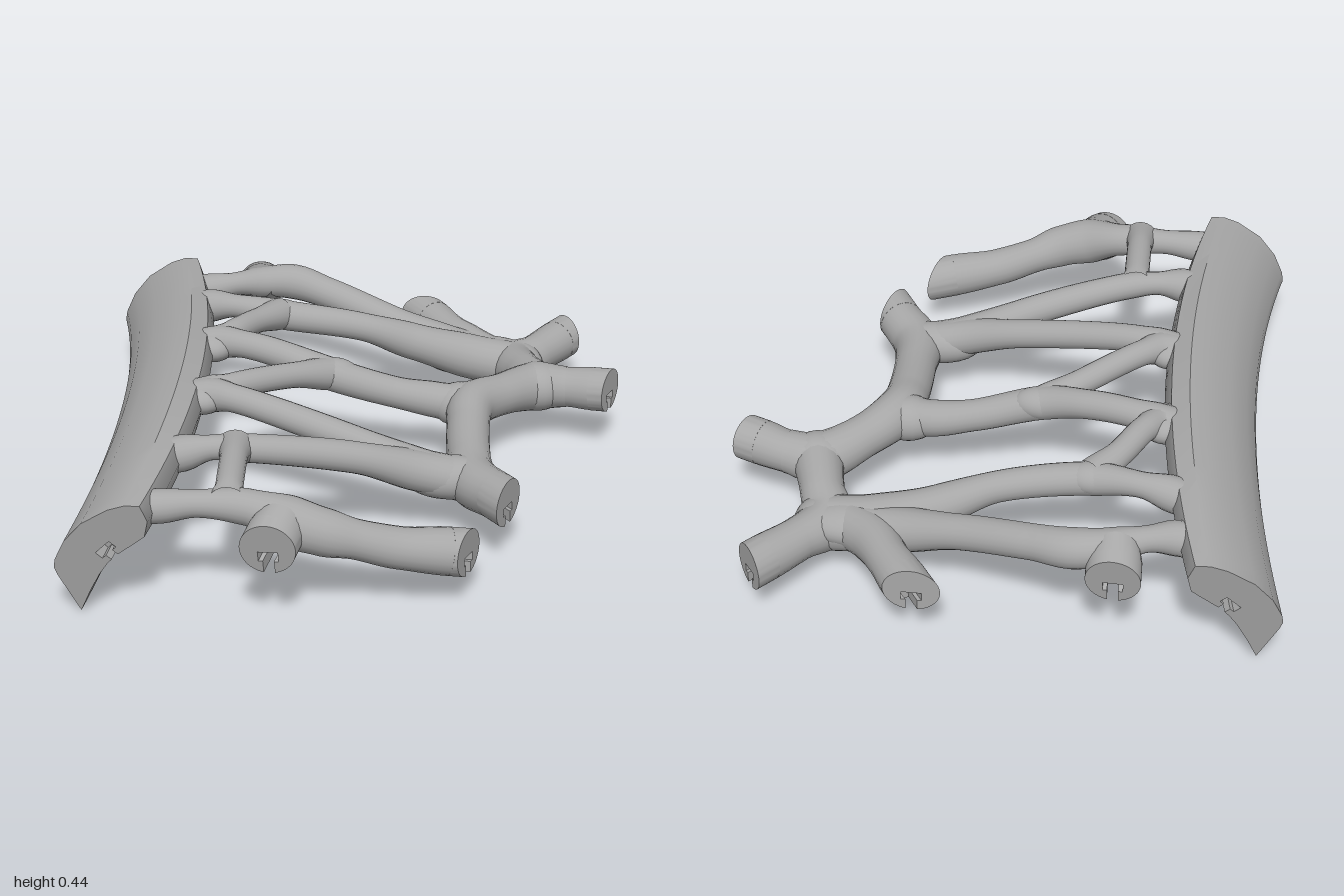
import * as THREE from 'three';
import { toCreasedNormals } from 'three/addons/utils/BufferGeometryUtils.js';

const grey = new THREE.MeshStandardMaterial({ color: 0xa8a8a8 });
grey.name = 'plain grey';

function part(name, geometry) {
  const mesh = new THREE.Mesh(geometry, grey);
  mesh.name = name;
  return mesh;
}

// Curved rail: one hollowed cross-section swept along z, with a T-slot in both ends
function railGeometry() {
  const before = [[-0.86, 0.14], [-0.8, 0.01], [-0.768, 0.085], [-0.735, 0.15], [-0.712, 0.185]];
  const after = [[-0.66, 0.235], [-0.625, 0.262], [-0.597, 0.285], [-0.585, 0.34], [-0.605, 0.395], [-0.65, 0.396],
    [-0.7, 0.38], [-0.78, 0.33], [-0.835, 0.265], [-0.865, 0.2], [-0.87, 0.17]];
  const slot = [[-0.014, 0], [-0.014, 0.022], [-0.03, 0.022], [-0.03, 0.05],
    [0.03, 0.05], [0.03, 0.022], [0.014, 0.022], [0.014, 0]];
  const profile = (cut) => [...before, ...slot.map(([s, d]) => {
    const along = cut ? s : Math.sign(s) * 0.014;
    const deep = cut ? d : 0;
    return [-0.688 + 0.7 * (along - deep), 0.211 + 0.7 * (along + deep)];
  }), ...after];

  const sections = [[-1, true], [-0.94, true]];
  for (let i = 0; i <= 24; i++) sections.push([-0.94 + 1.88 * i / 24, false]);
  sections.push([0.94, true], [1, true]);

  const positions = [], index = [];
  const n = profile(true).length;
  sections.forEach(([t, cut], i) => {
    const bow = 1 - t * t;
    for (const [x, y] of profile(cut)) {
      const inner = x > -0.62;
      positions.push(x + (inner ? 0.102 : 0.09) * bow, y + (inner ? 0.025 : 0.05) * bow, -0.03 + t * (0.9 + 0.175 * y));
    }
    if (i === 0) return;
    for (let j = 0; j < n; j++) {
      const a = (i - 1) * n + j, b = (i - 1) * n + (j + 1) % n;
      index.push(a, b, b + n, a, b + n, a + n);
    }
  });
  const last = (sections.length - 1) * n;
  const outline = profile(true).map(([x, y]) => new THREE.Vector2(x, y));
  for (const [a, b, c] of THREE.ShapeUtils.triangulateShape(outline, [])) {
    index.push(last + a, last + b, last + c, a, c, b);
  }
  const geometry = new THREE.BufferGeometry();
  geometry.setAttribute('position', new THREE.Float32BufferAttribute(positions, 3));
  geometry.setIndex(index);
  return toCreasedNormals(geometry, 0.6);
}

// Tube through points [x, y, z, radius]
function branchGeometry(points) {
  const curve = new THREE.CatmullRomCurve3(points.map(([x, y, z]) => new THREE.Vector3(x, y, z)));
  const steps = (points.length - 1) * 8, sides = 20;
  const geometry = new THREE.TubeGeometry(curve, steps, 1, sides);
  const position = geometry.attributes.position, v = new THREE.Vector3();
  for (let i = 0; i <= steps; i++) {
    const centre = curve.getPointAt(i / steps);
    const t = curve.getUtoTmapping(i / steps) * (points.length - 1);
    const k = Math.min(Math.floor(t), points.length - 2);
    const r = THREE.MathUtils.lerp(points[k][3], points[k + 1][3], THREE.MathUtils.smoothstep(t - k, 0, 1));
    for (let j = 0; j <= sides; j++) {
      const id = i * (sides + 1) + j;
      v.fromBufferAttribute(position, id).sub(centre).multiplyScalar(r).add(centre);
      position.setXYZ(id, v.x, v.y, v.z);
    }
  }
  return { geometry, curve };
}

// Round end piece with a T-slot opening downwards, cut off along a plane with the given normal
function socket(curve, r, normal) {
  const length = 0.06;
  const dir = curve.getTangentAt(1);
  const side = new THREE.Vector3(0, 1, 0).cross(dir).normalize();
  const up = dir.clone().cross(side);
  const cut = new THREE.Vector3(...normal);

  const shape = new THREE.Shape();
  const w = 0.2 * r, h = 0.36 * r, edge = Math.asin(w / r);
  shape.absarc(0, 0, r, -Math.PI / 2 + edge, 1.5 * Math.PI - edge, false);
  [[-w, -0.5 * r], [-h, -0.5 * r], [-h, -0.12 * r], [h, -0.12 * r], [h, -0.5 * r], [w, -0.5 * r]]
    .forEach(([x, y]) => shape.lineTo(x, y));
  const plug = new THREE.ExtrudeGeometry(shape, { depth: length, bevelEnabled: false, curveSegments: 28 });
  const p = plug.attributes.position;
  for (let i = 0; i < p.count; i++) {
    if (p.getZ(i) < length / 2) continue;
    p.setZ(i, length - (cut.dot(side) * p.getX(i) + cut.dot(up) * p.getY(i)) / cut.dot(dir));
  }
  const group = new THREE.Group();
  group.name = 'slottedEnd';
  group.add(part('endPlug', toCreasedNormals(plug, 0.6)), part('slotFloor', new THREE.CircleGeometry(r, 28)));
  group.quaternion.setFromRotationMatrix(new THREE.Matrix4().makeBasis(side, up, dir));
  group.position.copy(curve.getPointAt(1));
  return group;
}

export function createModel() {
  const model = new THREE.Group();
  model.name = 'branchingPanel';
  model.add(part('rail', railGeometry()));

  // Thin ribs running from the rail towards the outer rim
  const ribs = {
    frontPost: [[-0.36, 0.355, 0.84, 0.06], [-0.36, 0.37, 0.76, 0.042], [-0.36, 0.375, 0.58, 0.042], [-0.36, 0.37, 0.5, 0.06]],
    frontRib: [[-0.6, 0.345, 0.53, 0.055], [-0.52, 0.365, 0.53, 0.057], [-0.43, 0.378, 0.515, 0.039], [-0.33, 0.37, 0.5, 0.045],
      [0, 0.3, 0.415, 0.05], [0.2, 0.23, 0.365, 0.065], [0.36, 0.19, 0.35, 0.07]],
    middleFrontRib: [[-0.56, 0.36, 0.13, 0.055], [-0.46, 0.38, 0.14, 0.056], [-0.38, 0.38, 0.17, 0.045],
      [0, 0.295, 0.29, 0.048], [0.2, 0.235, 0.345, 0.06], [0.36, 0.19, 0.35, 0.07]],
    middleBrace: [[-0.56, 0.36, 0.13, 0.055], [-0.46, 0.38, 0.12, 0.056], [-0.4, 0.385, 0.08, 0.042],
      [-0.22, 0.36, -0.06, 0.042], [-0.1, 0.33, -0.145, 0.055]],
    middleBackRib: [[-0.56, 0.36, -0.28, 0.055], [-0.47, 0.38, -0.28, 0.056], [-0.38, 0.385, -0.25, 0.046], [-0.25, 0.37, -0.2, 0.047],
      [-0.1, 0.33, -0.148, 0.055], [0.12, 0.265, -0.145, 0.052], [0.26, 0.24, -0.14, 0.06], [0.38, 0.23, -0.11, 0.075]],
    backBrace: [[-0.56, 0.36, -0.28, 0.055], [-0.47, 0.38, -0.29, 0.054], [-0.43, 0.39, -0.34, 0.042],
      [-0.36, 0.38, -0.46, 0.042], [-0.28, 0.365, -0.565, 0.055]],
    backRib: [[-0.61, 0.34, -0.64, 0.055], [-0.53, 0.365, -0.63, 0.057], [-0.43, 0.375, -0.605, 0.04], [-0.28, 0.36, -0.57, 0.052],
      [0, 0.315, -0.575, 0.049], [0.18, 0.25, -0.6, 0.064], [0.38, 0.19, -0.612, 0.078], [0.53, 0.165, -0.6, 0.08]],
    rearRib: [[-0.63, 0.335, -0.82, 0.055], [-0.55, 0.35, -0.82, 0.054], [-0.46, 0.36, -0.845, 0.04], [-0.36, 0.355, -0.88, 0.055],
      [-0.25, 0.35, -0.895, 0.062], [-0.12, 0.325, -0.845, 0.055], [0.1, 0.265, -0.745, 0.055], [0.3, 0.205, -0.675, 0.07], [0.5, 0.165, -0.63, 0.075]],
  };
  for (const [name, points] of Object.entries(ribs)) model.add(part(name, branchGeometry(points).geometry));

  // Swollen joints where branches merge: centre, then half sizes
  const joints = [
    [0.41, 0.185, -0.63, 0.2, 0.068, 0.092], [0.535, 0.16, -0.605, 0.1, 0.085, 0.095], [0.6, 0.205, -0.335, 0.1, 0.083, 0.09],
    [0.34, 0.23, -0.13, 0.1, 0.074, 0.08], [0.3, 0.203, 0.35, 0.15, 0.07, 0.075], [-0.09, 0.33, -0.15, 0.09, 0.052, 0.054],
    [-0.28, 0.363, -0.57, 0.08, 0.05, 0.054], [-0.49, 0.37, 0.13, 0.075, 0.052, 0.085], [-0.49, 0.37, -0.28, 0.075, 0.052, 0.085],
  ];
  for (const [x, y, z, ...size] of joints) {
    const joint = part('joint', new THREE.SphereGeometry(1, 24, 16));
    joint.position.set(x, y, z);
    joint.scale.set(...size);
    model.add(joint);
  }

  // Thick branches that finish in slotted ends; each end has its own cutting plane
  const branches = {
    frontBranch: { cut: [0.92, 0, 0.39], points: [[-0.66, 0.335, 0.83, 0.055], [-0.56, 0.34, 0.83, 0.052], [-0.45, 0.35, 0.83, 0.042],
      [-0.3, 0.345, 0.84, 0.055], [-0.18, 0.315, 0.87, 0.078], [-0.08, 0.285, 0.875, 0.072], [0.02, 0.25, 0.855, 0.06],
      [0.14, 0.212, 0.832, 0.064], [0.29, 0.187, 0.805, 0.073]] },
    frontStub: { cut: [-0.18, -0.17, 1], points: [[-0.19, 0.33, 0.85, 0.05], [-0.202, 0.316, 0.885, 0.078], [-0.217, 0.3, 0.925, 0.083]] },
    rearStub: { cut: [0.06, -0.17, -1], points: [[-0.37, 0.36, -0.84, 0.048], [-0.37, 0.345, -0.88, 0.075], [-0.37, 0.327, -0.925, 0.082]] },
    outerRim: { cut: [0.9, 0, 0.42], points: [[0.7, 0.21, -0.32, 0.07], [0.6, 0.205, -0.335, 0.082], [0.47, 0.22, -0.23, 0.07],
      [0.375, 0.235, -0.11, 0.077], [0.36, 0.215, 0.02, 0.07], [0.36, 0.195, 0.2, 0.07], [0.37, 0.19, 0.35, 0.082], [0.443, 0.2, 0.472, 0.075]] },
    sideBranch: { cut: [0.9, 0, 0.45], points: [[0.52, 0.205, -0.28, 0.06], [0.6, 0.205, -0.335, 0.08], [0.7, 0.21, -0.32, 0.068], [0.785, 0.217, -0.29, 0.073]] },
    backBranch: { cut: [0.83, 0, -0.55], points: [[0.6, 0.205, -0.34, 0.08], [0.565, 0.185, -0.48, 0.07], [0.535, 0.163, -0.6, 0.085],
      [0.61, 0.162, -0.7, 0.068], [0.692, 0.168, -0.803, 0.073]] },
    rearBranch: { cut: [0.07, 0, -1], points: [[0.46, 0.175, -0.62, 0.075], [0.37, 0.19, -0.71, 0.075], [0.31, 0.195, -0.81, 0.066], [0.255, 0.2, -0.903, 0.072]] },
  };
  for (const [name, { cut, points }] of Object.entries(branches)) {
    const { geometry, curve } = branchGeometry(points);
    const group = new THREE.Group();
    group.name = name;
    group.add(part(name + 'Tube', geometry));
    group.add(socket(curve, points[points.length - 1][3], cut));
    model.add(group);
  }
  return model;
}
